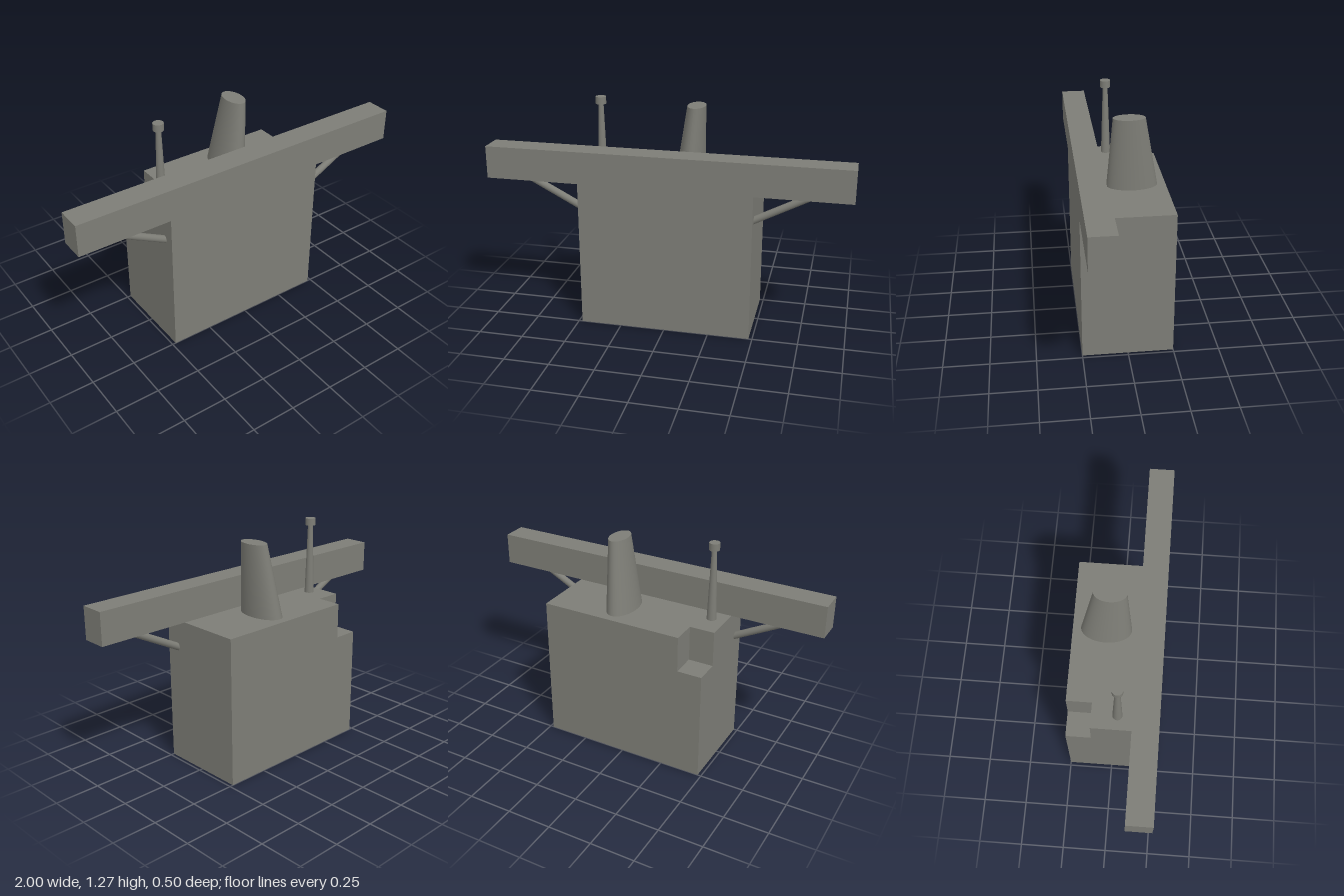
import * as THREE from 'three';

const grey = new THREE.MeshStandardMaterial({ color: 0x7d7d76, side: THREE.DoubleSide });
grey.name = 'warm grey';

const HALF_W = 0.48, FRONT = 0.25, BACK = -0.25, BEAM_BACK = 0.11;
const DECK = 0.83, NOTCH_Y = 0.63, NOTCH_X = -0.34, NOTCH_Z = -0.11;

function add(parent, name, geometry) {
  const mesh = new THREE.Mesh(geometry, grey);
  mesh.name = name;
  parent.add(mesh);
  return mesh;
}

// Flat wall along the floor line from a to b (outside is to the right of travel)
function wall(parent, name, a, b, y0, y1) {
  const dx = b[0] - a[0], dz = b[1] - a[1];
  const mesh = add(parent, name, new THREE.PlaneGeometry(Math.hypot(dx, dz), y1 - y0));
  mesh.position.set((a[0] + b[0]) / 2, (y0 + y1) / 2, (a[1] + b[1]) / 2);
  mesh.rotation.y = Math.atan2(-dz, dx);
}

// Horizontal plate facing up, outlined by [x, z] points
function plate(parent, name, points, y) {
  const shape = new THREE.Shape(points.map(([x, z]) => new THREE.Vector2(x, -z)));
  add(parent, name, new THREE.ShapeGeometry(shape).rotateX(-Math.PI / 2).translate(0, y, 0));
}

function createHull() {
  const hull = new THREE.Group();
  hull.name = 'hull';
  // Lower walls, open underneath
  const low = [[-HALF_W, FRONT], [HALF_W, FRONT], [HALF_W, BACK], [-HALF_W, BACK]];
  low.forEach((p, i) => wall(hull, 'lowerWall', p, low[(i + 1) % 4], 0, NOTCH_Y));
  // Upper walls step in around the corner notch
  const notch = [[NOTCH_X, BACK], [NOTCH_X, NOTCH_Z], [-HALF_W, NOTCH_Z]];
  const high = [...low.slice(0, 3), ...notch];
  high.forEach((p, i) => wall(hull, 'upperWall', p, high[(i + 1) % 6], NOTCH_Y, DECK));
  plate(hull, 'deck', [[-HALF_W, BEAM_BACK], [HALF_W, BEAM_BACK], [HALF_W, BACK], ...notch], DECK);
  plate(hull, 'notchFloor', [[-HALF_W, NOTCH_Z], [NOTCH_X, NOTCH_Z], [NOTCH_X, BACK], [-HALF_W, BACK]], NOTCH_Y);
  return hull;
}

// Oval tapered funnel that leans sideways
function funnelGeometry() {
  const geo = new THREE.CylinderGeometry(1, 1, 1, 48);
  const pos = geo.attributes.position;
  const mix = THREE.MathUtils.lerp;
  for (let i = 0; i < pos.count; i++) {
    const t = pos.getY(i) + 0.5;
    pos.setXYZ(i,
      mix(0.085, 0.12, t) + pos.getX(i) * mix(0.08, 0.05, t),
      mix(DECK, 1.23, t),
      mix(-0.065, -0.045, t) + pos.getZ(i) * mix(0.14, 0.087, t));
  }
  geo.computeVertexNormals();
  return geo;
}

export function createModel() {
  const model = new THREE.Group();
  model.name = 'bridgeTower';
  model.add(createHull());

  // Wide bridge across the front
  add(model, 'bridgeBeam', new THREE.BoxGeometry(2, 0.18, FRONT - BEAM_BACK))
    .position.set(0, 0.92, (FRONT + BEAM_BACK) / 2);

  add(model, 'funnel', funnelGeometry());

  // Thin mast with a drum on top
  add(model, 'mast', new THREE.CylinderGeometry(0.014, 0.027, 0.4, 24)).position.set(-0.4, 1.03, 0.03);
  add(model, 'mastCap', new THREE.CylinderGeometry(0.029, 0.029, 0.04, 24)).position.set(-0.4, 1.25, 0.03);

  // Diagonal struts under the bridge wings
  for (const side of [-1, 1]) {
    const a = new THREE.Vector3(side * 0.47, 0.672, 0.18);
    const b = new THREE.Vector3(side * 0.8, 0.844, 0.18);
    const strut = add(model, side > 0 ? 'leftStrut' : 'rightStrut',
      new THREE.CylinderGeometry(0.02, 0.02, a.distanceTo(b), 20));
    strut.position.copy(a).lerp(b, 0.5);
    strut.quaternion.setFromUnitVectors(new THREE.Vector3(0, 1, 0), b.clone().sub(a).normalize());
  }
  return model;
}
